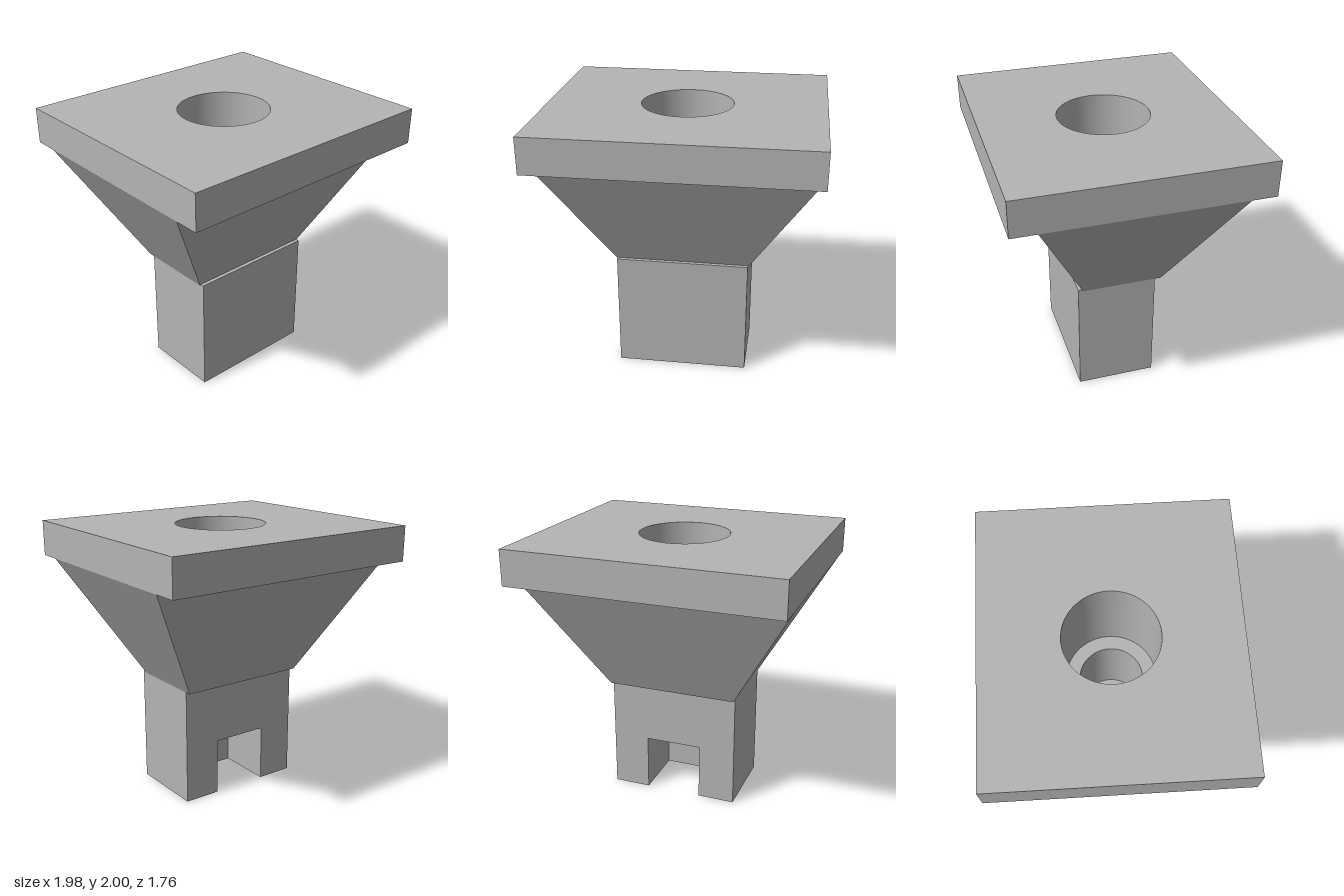
import * as THREE from 'three';

const BORE = 0.33, PIN = 0.23;      // wide and narrow bore radii
const BORE_FLOOR = 1.25, PIN_FLOOR = 0.6;
const PLATE_Y = 1.74, NECK_Y = 0.88, SLOT_Y = 0.42;
const NECK = [-0.485, 0.485, -0.25, 0.33]; // x0, x1, z0, z1

export function createModel() {
  const group = new THREE.Group();
  const grey = new THREE.MeshStandardMaterial({ color: 0xb4b4b4, side: THREE.DoubleSide });
  grey.name = 'plain grey';

  const add = (name, geometry) => {
    const mesh = new THREE.Mesh(geometry, grey);
    mesh.name = name;
    group.add(mesh);
    return mesh;
  };

  // Plan outline with an optional round hole; shape y is -z
  const outline = (points, hole = 0) => {
    const shape = new THREE.Shape(points.map(([x, z]) => new THREE.Vector2(x, -z)));
    if (hole) shape.holes.push(new THREE.Path().absarc(0, 0, hole, 0, Math.PI * 2, true));
    return shape;
  };
  const rect = ([x0, x1, z0, z1]) => [[x0, z1], [x1, z1], [x1, z0], [x0, z0]];
  const slab = (name, shape, y0, y1) => {
    const g = new THREE.ExtrudeGeometry(shape, { depth: y1 - y0, bevelEnabled: false, curveSegments: 48 });
    add(name, g.rotateX(-Math.PI / 2).translate(0, y0, 0));
  };

  // Top plate
  slab('topPlate', outline(rect([-0.99, 0.99, -0.88, 0.88]), BORE), PLATE_Y, 2);

  // Tapered funnel: four-sided tube with its corners moved to the end rectangles
  const bottomY = 0.865;
  const funnel = new THREE.CylinderGeometry(1, 1, 1, 4, 1, true, Math.PI / 4).toNonIndexed();
  const p = funnel.attributes.position;
  for (let i = 0; i < p.count; i++) {
    const top = p.getY(i) > 0;
    p.setXYZ(i,
      Math.sign(p.getX(i)) * (top ? 0.99 : 0.485),
      top ? PLATE_Y : bottomY,
      Math.sign(p.getZ(i)) * (top ? 0.7 : 0.295));
  }
  funnel.computeVertexNormals();
  add('funnel', funnel);

  // Underside of the funnel, showing as a narrow lip behind the neck
  const lip = new THREE.ShapeGeometry(outline(rect([-0.485, 0.485, -0.295, -0.25])));
  add('funnelLip', lip.rotateX(Math.PI / 2).scale(1, 1, -1).translate(0, bottomY, 0));

  // Neck: bored upper part, solid middle, slotted foot open to the back
  slab('neckUpper', outline(rect(NECK), PIN), PIN_FLOOR, NECK_Y);
  slab('neckMiddle', outline(rect(NECK)), SLOT_Y, PIN_FLOOR);
  const [x0, x1, z0, z1] = NECK;
  const slotX = 0.21, slotZ = 0.18;
  slab('neckFoot', outline([
    [x0, z1], [x1, z1], [x1, z0], [slotX, z0],
    [slotX, slotZ], [-slotX, slotZ], [-slotX, z0], [x0, z0],
  ]), 0, SLOT_Y);

  // Stepped bore lining through the funnel
  const wall = (name, points) =>
    add(name, new THREE.LatheGeometry(points.map(([r, y]) => new THREE.Vector2(r, y)), 96));
  wall('boreWall', [[BORE, PLATE_Y], [BORE, BORE_FLOOR]]);
  wall('boreStep', [[BORE, BORE_FLOOR], [PIN, BORE_FLOOR]]);
  wall('pinWall', [[PIN, BORE_FLOOR], [PIN, NECK_Y]]);

  return group;
}
